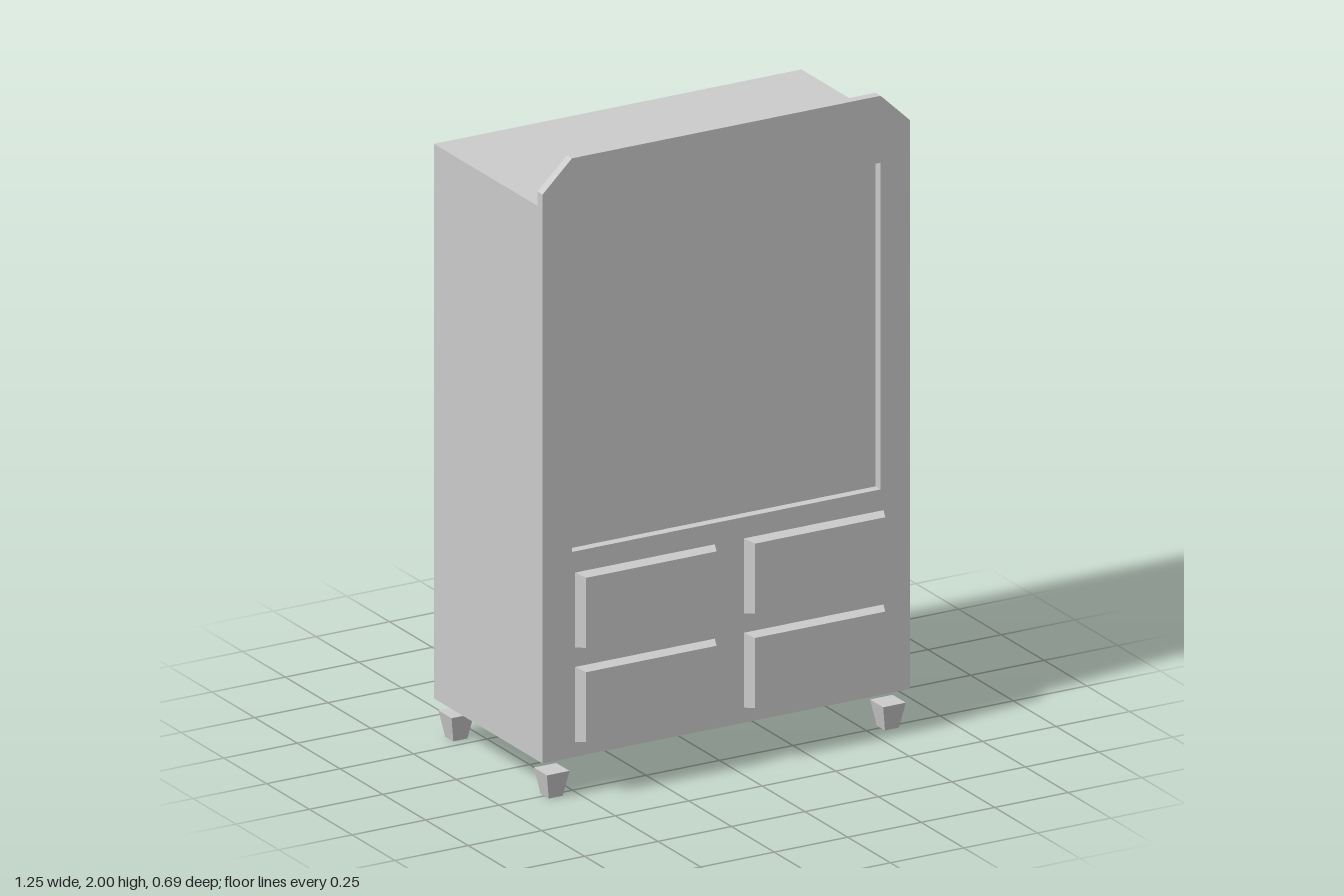
import * as THREE from 'three';

const material = new THREE.MeshStandardMaterial({ color: 0xcccccc, flatShading: true });

function part(name, geometry, x = 0, y = 0, z = 0) {
  const mesh = new THREE.Mesh(geometry, material);
  mesh.name = name;
  mesh.position.set(x, y, z);
  return mesh;
}

// Box whose cross-section is scaled at one end of the given axis
function taperedBox(w, h, d, axis, atEnd, scale) {
  const geometry = new THREE.BoxGeometry(w, h, d);
  const p = geometry.attributes.position;
  const v = new THREE.Vector3();
  for (let i = 0; i < p.count; i++) {
    v.fromBufferAttribute(p, i);
    if (Math.sign(v[axis]) === atEnd) v.multiply(scale);
    p.setXYZ(i, v.x, v.y, v.z);
  }
  geometry.computeVertexNormals();
  return geometry;
}

export function createModel() {
  const model = new THREE.Group();
  model.name = 'cabinet';

  // Carcass; its front face is the floor of the recess
  model.add(part('body', new THREE.BoxGeometry(1.25, 1.74, 0.605), 0, 0.99, -0.0425));

  // Front panel with cut corners and a large recessed opening
  const outline = new THREE.Shape([
    [-0.625, 0.12], [0.625, 0.12], [0.625, 1.905],
    [0.525, 2], [-0.525, 2], [-0.625, 1.905],
  ].map(([x, y]) => new THREE.Vector2(x, y)));
  outline.holes.push(new THREE.Path([
    [-0.525, 0.765], [-0.525, 1.79], [0.525, 1.79], [0.525, 0.765],
  ].map(([x, y]) => new THREE.Vector2(x, y))));
  const panel = new THREE.ExtrudeGeometry(outline, { depth: 0.03, bevelEnabled: false });
  model.add(part('frontPanel', panel, 0, 0, 0.26));

  // Four bevelled drawer fronts, set just ahead of the panel
  const drawer = taperedBox(0.475, 0.235, 0.037, 'z', 1, new THREE.Vector3(0.935, 0.935, 1));
  for (const x of [-0.287, 0.287]) {
    for (const y of [0.2925, 0.5885]) model.add(part('drawerFront', drawer, x, y, 0.3265));
  }

  // Four tapered feet, set just below the carcass
  const foot = taperedBox(0.077, 0.08, 0.077, 'y', -1, new THREE.Vector3(0.62, 1, 0.62));
  for (const x of [-0.572, 0.572]) {
    for (const z of [-0.306, 0.252]) model.add(part('foot', foot, x, 0.04, z));
  }
  return model;
}
